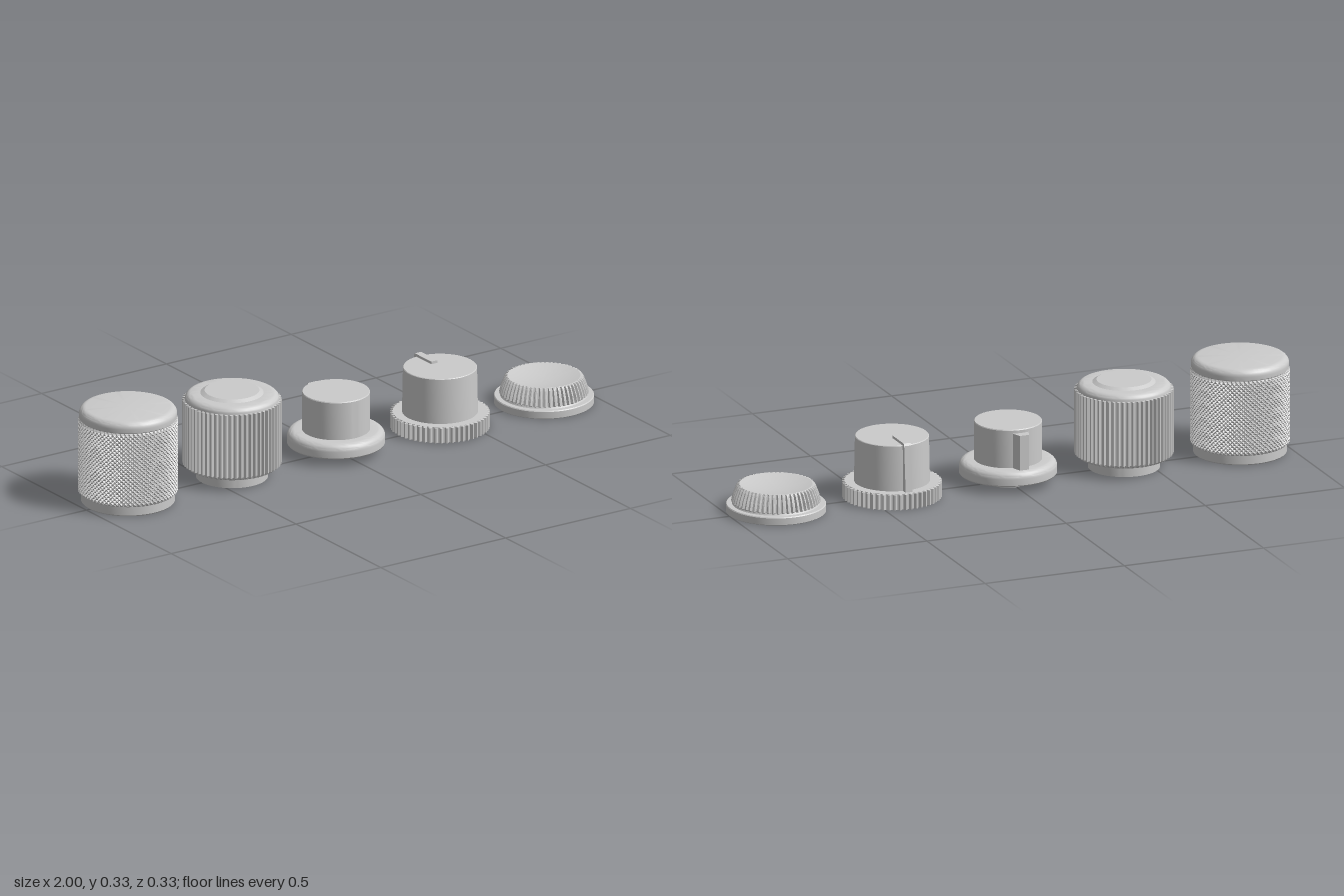
import * as THREE from 'three';
import { toCreasedNormals } from 'three/addons/utils/BufferGeometryUtils.js';

const smooth = new THREE.MeshStandardMaterial({ color: 0xcccccc });
const faceted = new THREE.MeshStandardMaterial({ color: 0xcccccc, flatShading: true });

function add(group, name, geometry, material = smooth) {
  const mesh = new THREE.Mesh(geometry, material);
  mesh.name = name;
  group.add(mesh);
}

// Turned solid from a bottom-to-top profile of [radius, y]
function turned(profile) {
  const points = profile.map(([r, y]) => new THREE.Vector2(r, y));
  return toCreasedNormals(new THREE.LatheGeometry(points, 72), 0.5);
}

// Rounded top edge ending at radius r and height y
function roundTop(r, y, rx, ry = rx, steps = 6) {
  return Array.from({ length: steps + 1 }, (_, i) => {
    const a = (i / steps) * Math.PI / 2;
    return [r - rx + rx * Math.cos(a), y - ry + ry * Math.sin(a)];
  });
}

// Wall of stacked rings; radius(i, j) shapes the relief
function reliefWall(heights, segments, radius) {
  const positions = [], index = [];
  heights.forEach((y, j) => {
    for (let i = 0; i < segments; i++) {
      const a = (i / segments) * Math.PI * 2, r = radius(i, j);
      positions.push(r * Math.sin(a), y, r * Math.cos(a));
    }
  });
  for (let j = 0; j < heights.length - 1; j++) {
    for (let i = 0; i < segments; i++) {
      const n = (i + 1) % segments;
      const a = j * segments + i, b = j * segments + n;
      const c = a + segments, d = b + segments;
      // alternate the diagonal so checkered relief forms clean pyramids
      if ((i + j) % 2) index.push(a, b, d, a, d, c);
      else index.push(a, b, c, b, d, c);
    }
  }
  const g = new THREE.BufferGeometry();
  g.setAttribute('position', new THREE.Float32BufferAttribute(positions, 3));
  g.setIndex(index);
  g.computeVertexNormals();
  return g;
}

// Vertical flutes over rings of [radius, y, depth]
function flutes(rings, teeth) {
  return reliefWall(rings.map(r => r[1]), teeth * 4,
    (i, j) => rings[j][0] - (i % 4 < 2 ? 0 : rings[j][2]));
}

function polygon(points) {
  return new THREE.Shape(points.map(([x, y]) => new THREE.Vector2(x, y)));
}

// Tall knob with a diamond-knurled grip
function knurledKnob() {
  const g = new THREE.Group();
  add(g, 'knurledKnobBody', turned([
    [0, 0], [0.152, 0], [0.156, 0.004], [0.156, 0.034], [0.159, 0.036], [0.159, 0.293],
    [0.162, 0.296], ...roundTop(0.163, 0.333, 0.024), [0, 0.334],
  ]));
  const rows = 36;
  const heights = Array.from({ length: rows + 1 }, (_, j) => 0.034 + 0.26 * j / rows);
  add(g, 'knurledGrip', reliefWall(heights, 140,
    (i, j) => (j === 0 || j === rows) ? 0.158 : (i + j) % 2 ? 0.1665 : 0.159), faceted);
  return g;
}

// Fluted knob with a raised disc on top
function flutedKnob() {
  const g = new THREE.Group();
  add(g, 'flutedKnobBody', turned([
    [0, 0], [0.12, 0], [0.12, 0.04], [0.152, 0.04], [0.156, 0.05], [0.156, 0.272],
    ...roundTop(0.157, 0.295, 0.025, 0.023), [0.105, 0.295], [0.091, 0.303], [0, 0.303],
  ]));
  add(g, 'flutedGrip', flutes([
    [0.152, 0.04, 0], [0.165, 0.05, 0.009], [0.165, 0.272, 0.009], [0.155, 0.273, 0],
  ], 60), faceted);
  return g;
}

// Flanged knob on a short post, with a wedge pointer at the back
function flangedKnob() {
  const g = new THREE.Group();
  add(g, 'flangedKnobBody', turned([
    [0, 0], [0.075, 0], [0.075, 0.03], [0.16, 0.03], [0.163, 0.034],
    ...roundTop(0.163, 0.08, 0.025), [0.113, 0.08], [0.113, 0.21], [0.111, 0.213], [0, 0.213],
  ]));
  const wedge = new THREE.ExtrudeGeometry(
    polygon([[-0.031, 0.1], [0.031, 0.1], [0.017, 0.142], [-0.017, 0.142]]),
    { depth: 0.125, bevelEnabled: false });
  wedge.rotateX(-Math.PI / 2).translate(0, 0.075, 0);
  add(g, 'wedgePointer', wedge);
  return g;
}

// Knob with a ribbed skirt and a pointer blade over the top and back
function skirtedKnob() {
  const g = new THREE.Group();
  add(g, 'skirtedKnobBody', turned([
    [0, 0], [0.157, 0], [0.157, 0.055], [0.126, 0.055], [0.123, 0.21], [0.121, 0.212], [0, 0.212],
  ]));
  add(g, 'ribbedSkirt', flutes([
    [0.156, 0, 0], [0.166, 0.001, 0.009], [0.166, 0.053, 0.009], [0.155, 0.055, 0],
  ], 54), faceted);
  const blade = new THREE.ExtrudeGeometry(
    polygon([[-0.033, 0.2], [-0.033, 0.221], [-0.13, 0.221], [-0.135, 0.213],
      [-0.148, 0.05], [-0.11, 0.05], [-0.11, 0.2]]),
    { depth: 0.025, bevelEnabled: false });
  blade.rotateY(-Math.PI / 2).translate(0.0125, 0, 0);
  add(g, 'pointerBlade', blade);
  return g;
}

// Low dial with a fluted cone and a dished top
function lowDial() {
  const g = new THREE.Group();
  const dish = Array.from({ length: 9 }, (_, i) => {
    const t = 1 - i / 8;
    return [0.121 * t, 0.08 + 0.014 * t * t];
  });
  add(g, 'dialBody', turned([
    [0, 0], [0.1645, 0], [0.1665, 0.002], [0.1665, 0.025], [0.164, 0.028], [0.146, 0.028],
    [0.141, 0.035], [0.133, 0.065], [0.123, 0.091], ...dish,
  ]));
  add(g, 'dialFlutes', flutes([
    [0.141, 0.031, 0], [0.149, 0.036, 0.008], [0.143, 0.06, 0.009],
    [0.133, 0.086, 0.009], [0.128, 0.093, 0.006], [0.121, 0.094, 0],
  ], 54), faceted);
  return g;
}

export function createModel() {
  const model = new THREE.Group();
  model.name = 'knobSet';
  const knobs = { knurledKnob, flutedKnob, flangedKnob, skirtedKnob, lowDial };
  Object.entries(knobs).forEach(([name, build], i) => {
    const knob = build();
    knob.name = name;
    knob.position.x = (i - 2) * 0.4167;
    model.add(knob);
  });
  return model;
}
